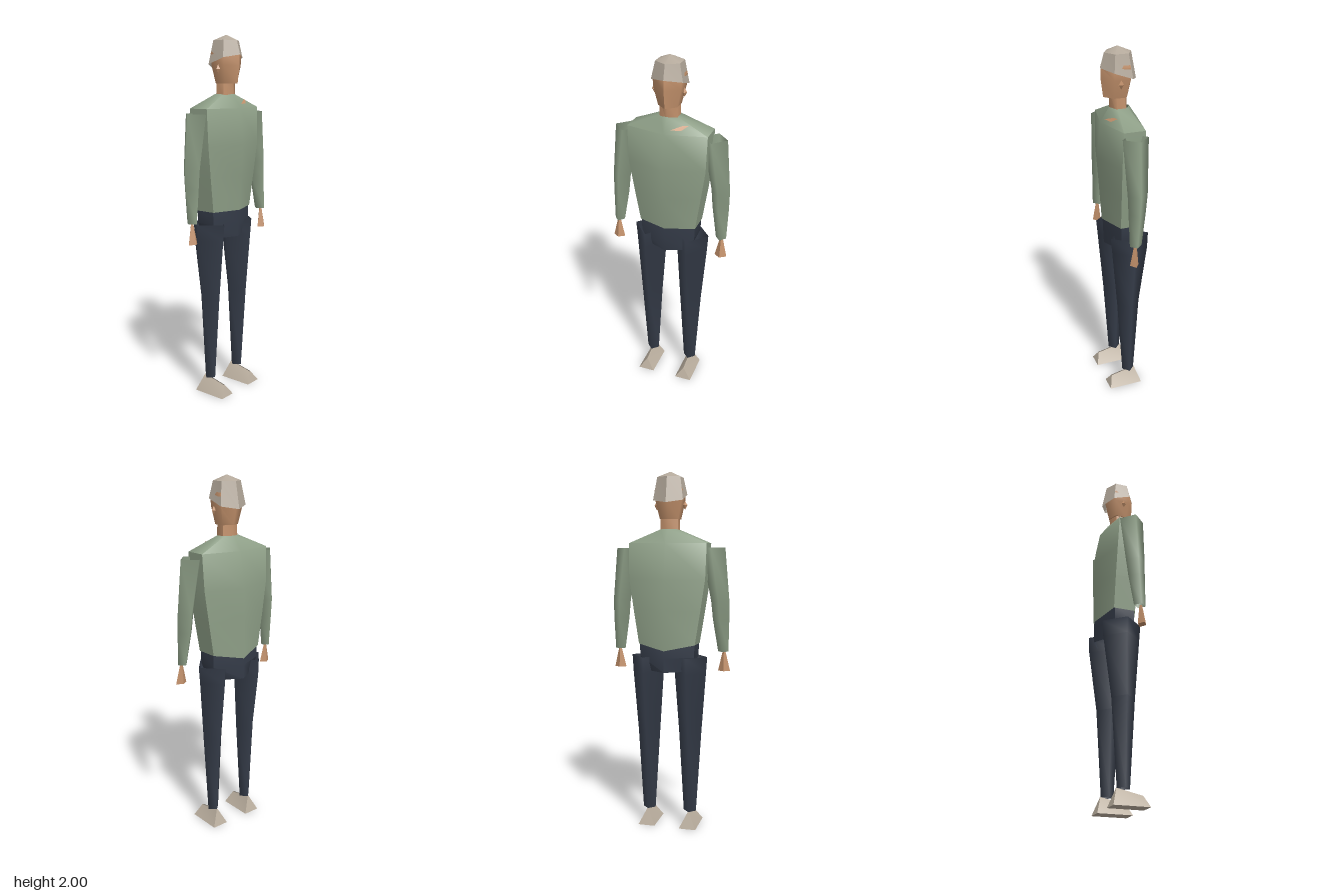
import * as THREE from 'three';
import { toCreasedNormals } from 'three/addons/utils/BufferGeometryUtils.js';

const material = (name, color) =>
  new THREE.MeshStandardMaterial({ name, color, side: THREE.DoubleSide });

// Six-sided ring pointed at front and back: height, half width, front z, back z, side z pair
const hex = (y, w, front, back, sideFront, sideBack) => [
  [0, y, front], [w, y, sideFront], [w, y, sideBack],
  [0, y, back], [-w, y, sideBack], [-w, y, sideFront],
];

// Four-sided ring pointed along x and z
const diamond = (y, x, z, w, d) => [
  [x, y, z + d], [x + w, y, z], [x, y, z - d], [x - w, y, z],
];

// Open skin stretched over rings listed from top to bottom
function loft(name, mat, rings, crease = 1.1) {
  const n = rings[0].length;
  const index = [];
  for (let i = 0; i < rings.length - 1; i++) {
    for (let j = 0; j < n; j++) {
      const a = i * n + j, b = i * n + (j + 1) % n;
      index.push(a, a + n, b + n, a, b + n, b);
    }
  }
  const geo = new THREE.BufferGeometry();
  geo.setAttribute('position', new THREE.Float32BufferAttribute(rings.flat(2), 3));
  geo.setIndex(index);
  const mesh = new THREE.Mesh(toCreasedNormals(geo, crease), mat);
  mesh.name = name;
  return mesh;
}

export function createModel() {
  const shirt = material('sage shirt', 0x8fa088);
  const trousers = material('dark navy trousers', 0x363d4a);
  const skin = material('skin', 0xc4926c);
  const hair = material('grey hair', 0xb5aa9c);
  const leather = material('pale shoe', 0xbcb0a0);
  const group = new THREE.Group();
  group.name = 'standingMan';

  // Torso, with the hem dipping at the back
  const hem = hex(1.06, 0.16, 0.108, -0.132, 0.055, -0.068);
  hem[3][1] = 1.03;
  group.add(loft('torso', shirt, [
    hex(1.69, 0.045, 0.06, -0.05, 0.032, -0.025),
    hex(1.615, 0.22, 0.11, -0.1, 0.062, -0.055),
    hex(1.42, 0.215, 0.131, -0.131, 0.068, -0.066),
    hex(1.25, 0.19, 0.12, -0.133, 0.062, -0.068),
    hem,
  ]));

  // Pelvis
  group.add(loft('pelvis', trousers, [
    hex(1.085, 0.157, 0.1, -0.124, 0.05, -0.062),
    hex(0.99, 0.155, 0.1, -0.13, 0.05, -0.06),
    hex(0.91, 0.12, 0.097, -0.128, 0.045, -0.055),
  ]));

  // Small patch on the chest
  const patch = new THREE.BufferGeometry();
  patch.setAttribute('position', new THREE.Float32BufferAttribute([
    0.03, 1.637, 0.096, 0.085, 1.637, 0.082, 0.115, 1.657, 0.056, 0.085, 1.657, 0.065,
  ], 3));
  patch.setIndex([0, 1, 2, 0, 2, 3]);
  patch.computeVertexNormals();
  const patchMesh = new THREE.Mesh(patch, skin);
  patchMesh.name = 'chestPatch';
  group.add(patchMesh);

  // Neck and head
  group.add(loft('neck', skin, [
    hex(1.77, 0.048, 0.06, -0.035, 0.035, -0.012),
    hex(1.66, 0.05, 0.06, -0.038, 0.035, -0.014),
  ]));
  group.add(loft('head', skin, [
    hex(1.96, 0.062, 0.082, -0.055, 0.046, -0.02),
    hex(1.9, 0.077, 0.105, -0.07, 0.058, -0.03),
    hex(1.84, 0.073, 0.105, -0.065, 0.056, -0.028),
    hex(1.745, 0.052, 0.092, -0.042, 0.048, -0.016),
    hex(1.745, 0.03, 0.05, -0.02, 0.03, -0.005),
  ]));

  // Cap of hair, lower at the back than at the brow
  const hairHem = hex(1.88, 0.084, 0.108, -0.088, 0.06, -0.04);
  [1.895, 1.88, 1.845, 1.83, 1.845, 1.88].forEach((y, i) => { hairHem[i][1] = y; });
  group.add(loft('hair', hair, [
    hex(2, 0.0005, 0.0155, 0.0145, 0.0152, 0.0148),
    hex(1.97, 0.065, 0.086, -0.06, 0.049, -0.022),
    hairHem,
  ], 0.7));

  for (const s of [-1, 1]) {
    const side = s > 0 ? 'left' : 'right';

    // Ear
    const ear = new THREE.Mesh(new THREE.OctahedronGeometry(1), skin);
    ear.name = side + 'Ear';
    ear.scale.set(0.014, 0.024, 0.014);
    ear.position.set(s * 0.08, 1.82, 0.023);
    group.add(ear);

    // Sleeve and hand
    group.add(loft(side + 'Arm', shirt, [
      diamond(1.59, s * 0.243, 0.008, 0.067, 0.07),
      diamond(1.3, s * 0.284, 0.011, 0.051, 0.055),
      diamond(1.2, s * 0.289, 0.015, 0.046, 0.048),
      diamond(1.02, s * 0.301, 0.026, 0.029, 0.033),
    ], Math.PI));
    group.add(loft(side + 'Hand', skin, [
      diamond(1.02, s * 0.305, 0.03, 0.008, 0.008),
      diamond(0.91, s * 0.305, 0.035, 0.034, 0.024),
      diamond(0.91, s * 0.305, 0.035, 0.0005, 0.0005),
    ]));

    // Trouser leg
    group.add(loft(side + 'Leg', trousers, [
      diamond(0.99, s * 0.122, -0.01, 0.096, 0.11),
      diamond(0.9, s * 0.122, -0.012, 0.09, 0.104),
      diamond(0.56, s * 0.121, -0.003, 0.065, 0.066),
      diamond(0.09, s * 0.121, -0.004, 0.036, 0.035),
    ], Math.PI));

    // Wedge shoe with a ridge rising to the ankle
    const x = s * 0.121;
    const slab = (w, yFront, zFront, yBack, zBack) => [
      [x - w, yFront, zFront], [x + w, yFront, zFront],
      [x + w, yBack, zBack], [x - w, yBack, zBack],
    ];
    group.add(loft(side + 'Shoe', leather, [
      slab(0.003, 0.062, 0.1, 0.092, -0.042),
      slab(0.048, 0, 0.122, 0, -0.073),
      slab(0.0005, 0, 0.02, 0, 0.019),
    ]));
  }
  return group;
}
